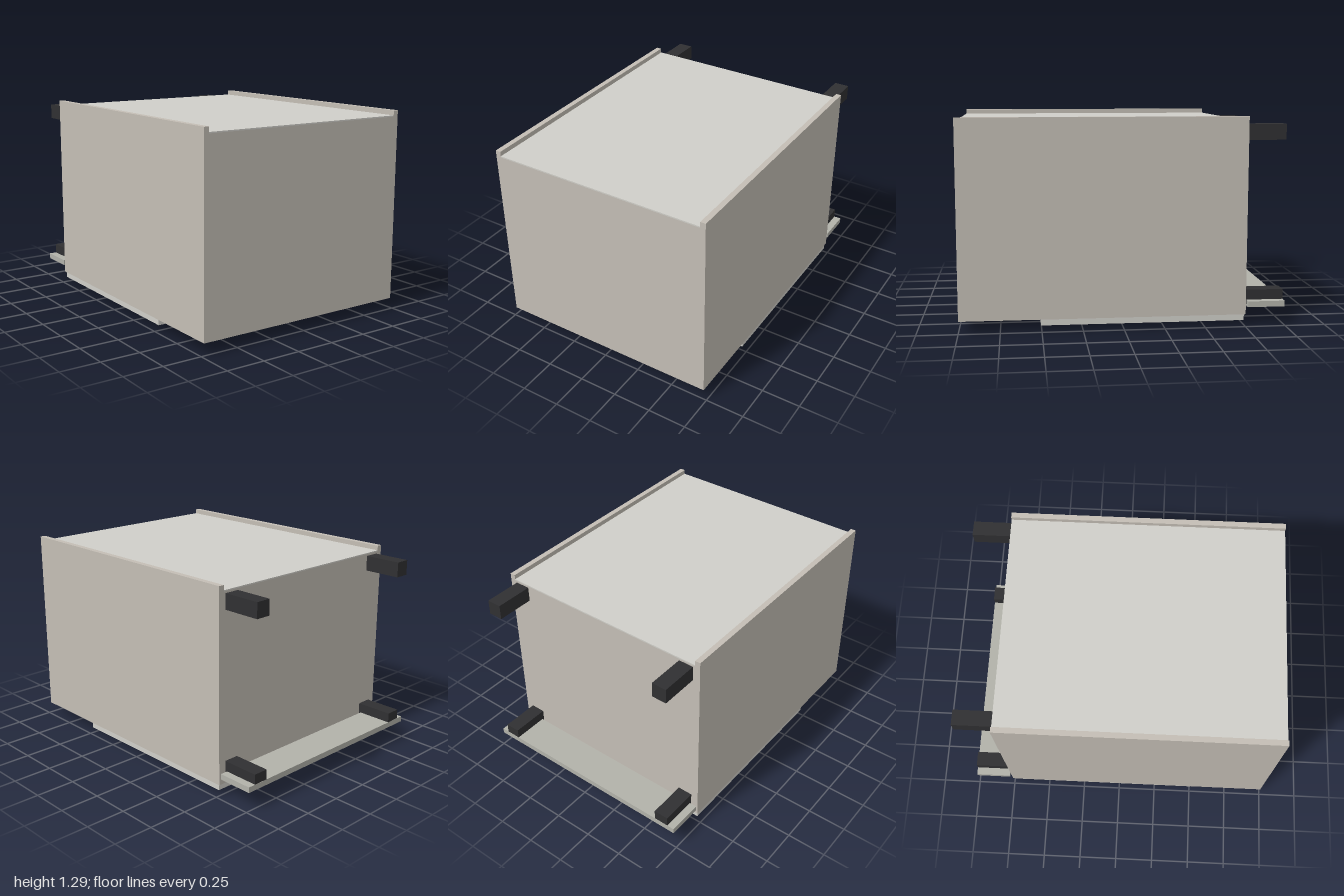
import * as THREE from 'three';

const wood = new THREE.MeshStandardMaterial({ color: 0xc4beb5 });
const panel = new THREE.MeshStandardMaterial({ color: 0xd0cfc9 });
const plinthGrey = new THREE.MeshStandardMaterial({ color: 0xb2b2aa });
const black = new THREE.MeshStandardMaterial({ color: 0x303032 });
const metal = new THREE.MeshStandardMaterial({ color: 0x808080 });

// Box given by its minimum and maximum corners
function box(name, material, [x0, y0, z0], [x1, y1, z1]) {
  const geometry = new THREE.BoxGeometry(x1 - x0, y1 - y0, z1 - z0);
  const mesh = new THREE.Mesh(geometry, material);
  mesh.position.set((x0 + x1) / 2, (y0 + y1) / 2, (z0 + z1) / 2);
  mesh.name = name;
  return mesh;
}

// Bar with rounded ends, standing out from the door
function doorHandle() {
  const half = 0.115, r = 0.014;
  const shape = new THREE.Shape();
  shape.absarc(half - r, 0, r, -Math.PI / 2, Math.PI / 2);
  shape.absarc(-half + r, 0, r, Math.PI / 2, Math.PI * 1.5);
  shape.closePath();
  const geometry = new THREE.ExtrudeGeometry(shape, { depth: 0.036, bevelEnabled: false, curveSegments: 8 });
  geometry.rotateX(-Math.PI / 2);
  const mesh = new THREE.Mesh(geometry, metal);
  mesh.position.set(0, 0, 0.325);
  mesh.name = 'doorHandle';
  return mesh;
}

// Cabinet lying on its door, with its feet pointing backwards
export function createModel() {
  const model = new THREE.Group();
  model.name = 'cabinet';

  // Carcass, open underneath
  const carcass = new THREE.Group();
  carcass.name = 'carcass';
  carcass.add(
    box('leftSide', wood, [0.695, 0.073, -0.755], [0.73, 1.29, 1]),
    box('rightSide', wood, [-0.73, 0.073, -0.755], [-0.695, 1.29, 1]),
    box('topPanel', wood, [-0.695, 0.073, 0.965], [0.695, 1.252, 1]),
    box('bottomPanel', wood, [-0.695, 0.073, -0.755], [0.695, 1.252, -0.72]),
    box('backPanel', panel, [-0.695, 1.252, -0.755], [0.695, 1.26, 1])
  );
  model.add(carcass);

  // Door covering the lower part of the opening
  model.add(box('door', panel, [-0.723, 0.035, -0.745], [0.723, 0.072, 0.505]), doorHandle());

  // Four square feet
  for (const [side, s] of [['left', 1], ['right', -1]]) {
    for (const [level, y] of [['Upper', 1.145], ['Lower', 0.12]]) {
      const x = s * 0.633;
      model.add(box(`${side}${level}Foot`, black, [x - 0.048, y, -0.999], [x + 0.048, y + 0.096, -0.755]));
    }
  }

  // Plinth board across the lower feet
  model.add(box('plinth', plinthGrey, [-0.73, 0.117, -1], [0.73, 0.153, -0.77]));
  return model;
}
